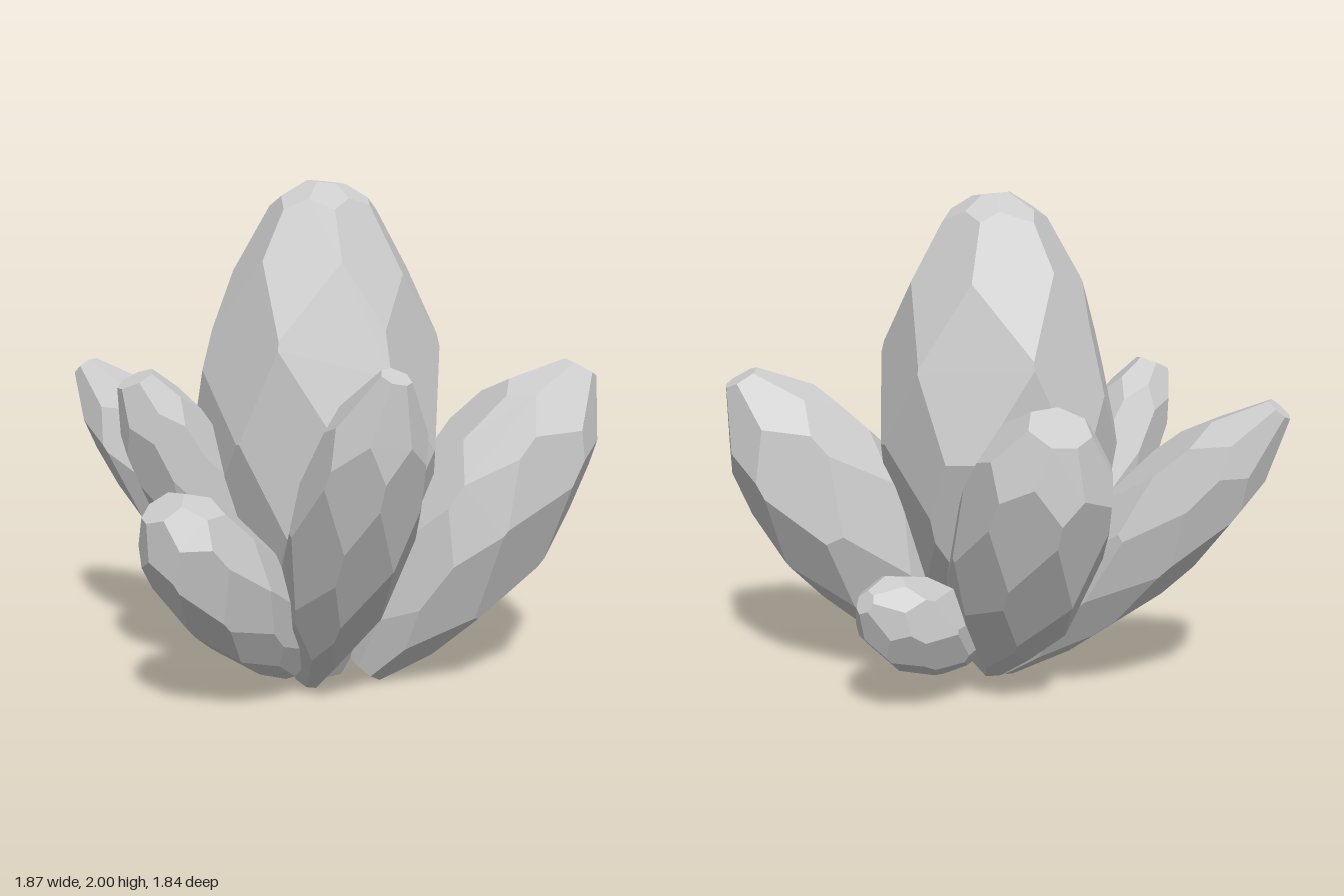
import * as THREE from 'three';
import { ConvexGeometry } from 'three/addons/geometries/ConvexGeometry.js';

// Small seeded generator, returns -1..1
function seeded(seed) {
  let s = seed * 7919 + 17;
  return () => {
    s = (s * 16807) % 2147483647;
    return (s / 2147483647) * 2 - 1;
  };
}

// Rings of facets: [fraction of length, fraction of radius, slope]
const SHARD = [[0.12, 0.5, 2.2], [0.3, 0.8, 1.2], [0.52, 0.97, 0.2], [0.75, 0.86, -1], [0.92, 0.5, -3.2]];
const BLUNT = [[0.12, 0.5, 2.2], [0.3, 0.8, 1.2], [0.52, 0.97, 0.2], [0.75, 0.9, -0.75], [0.93, 0.62, -3.2]];
const SPIRE = [[0.12, 0.47, 2.2], [0.3, 0.81, 1.1], [0.5, 0.97, 0.1], [0.69, 0.86, -0.9], [0.87, 0.59, -2.1], [0.98, 0.28, -6]];

// Turns facet planes (normal / distance, seen from the origin) into corner points
function cornersOf(planes) {
  const dual = new ConvexGeometry(planes).getAttribute('position');
  const triangle = new THREE.Triangle();
  const plane = new THREE.Plane();
  const corners = [];
  for (let i = 0; i < dual.count; i += 3) {
    triangle.setFromAttributeAndIndices(dual, i, i + 1, i + 2).getPlane(plane);
    corners.push(plane.normal.clone().divideScalar(-plane.constant));
  }
  return corners;
}

// Cut crystal: a solid bounded by irregular facets between two end points
function crystal(name, base, tip, radius, rings, sides, seed) {
  const rand = seeded(seed);
  const from = new THREE.Vector3(...base);
  const axis = new THREE.Vector3(...tip).sub(from);
  const length = axis.length();
  const middle = from.clone().addScaledVector(axis, 0.5);
  const turn = new THREE.Quaternion().setFromUnitVectors(new THREE.Vector3(0, 1, 0), axis.normalize());

  // End facets, slightly tilted
  const planes = [-1, 1].map((end) =>
    new THREE.Vector3(rand() * 0.1, end, rand() * 0.1).normalize().divideScalar(length / 2)
  );

  // Each ring is turned half a step from the one below
  const start = rand() * Math.PI;
  rings.forEach(([t, r, slope], ring) => {
    for (let i = 0; i < sides; i++) {
      const angle = start + ((i + ring / 2 + rand() * 0.15) / sides) * Math.PI * 2;
      const reach = r * radius * (0.98 + rand() * 0.025);
      const normal = new THREE.Vector3(Math.cos(angle), (-slope * radius) / length, Math.sin(angle)).normalize();
      const onFacet = new THREE.Vector3(Math.cos(angle) * reach, (t - 0.5) * length, Math.sin(angle) * reach);
      planes.push(normal.clone().divideScalar(normal.dot(onFacet)));
    }
  });

  const points = cornersOf(planes).map((p) => p.applyQuaternion(turn).add(middle));
  const material = new THREE.MeshStandardMaterial({ color: 0xcccccc, flatShading: true });
  const mesh = new THREE.Mesh(new ConvexGeometry(points), material);
  mesh.name = name;
  return mesh;
}

export function createModel() {
  const group = new THREE.Group();
  group.name = 'crystalCluster';

  // name, base, tip, radius, rings, sides, seed
  const parts = [
    ['centralCrystal', [-0.12, 0.03, 0.05], [-0.09, 1.99, 0.03], 0.49, SPIRE, 7, 3],
    ['leftFrontCrystal', [0.02, 0.05, 0.19], [0.84, 1.26, 0.46], 0.31, SHARD, 7, 5],
    ['frontCrystal', [-0.22, 0.04, 0.17], [-0.21, 1.33, 0.86], 0.23, SHARD, 7, 8],
    ['rightFrontCrystal', [-0.31, 0.11, 0.21], [-0.88, 0.84, 0.36], 0.21, BLUNT, 7, 11],
    ['rightCrystal', [-0.22, 0.08, -0.01], [-0.86, 1.26, 0.0], 0.18, BLUNT, 7, 14],
    ['rightBackCrystal', [-0.08, 0.05, -0.07], [-0.81, 1.21, -0.88], 0.215, SHARD, 7, 17],
    ['backCrystal', [-0.03, 0.06, -0.06], [0.06, 1.19, -0.73], 0.29, BLUNT, 7, 20],
    ['leftBackCrystal', [0.06, 0.16, -0.09], [0.63, 0.5, -0.28], 0.185, SHARD, 7, 23],
  ];
  for (const part of parts) group.add(crystal(...part));
  return group;
}
